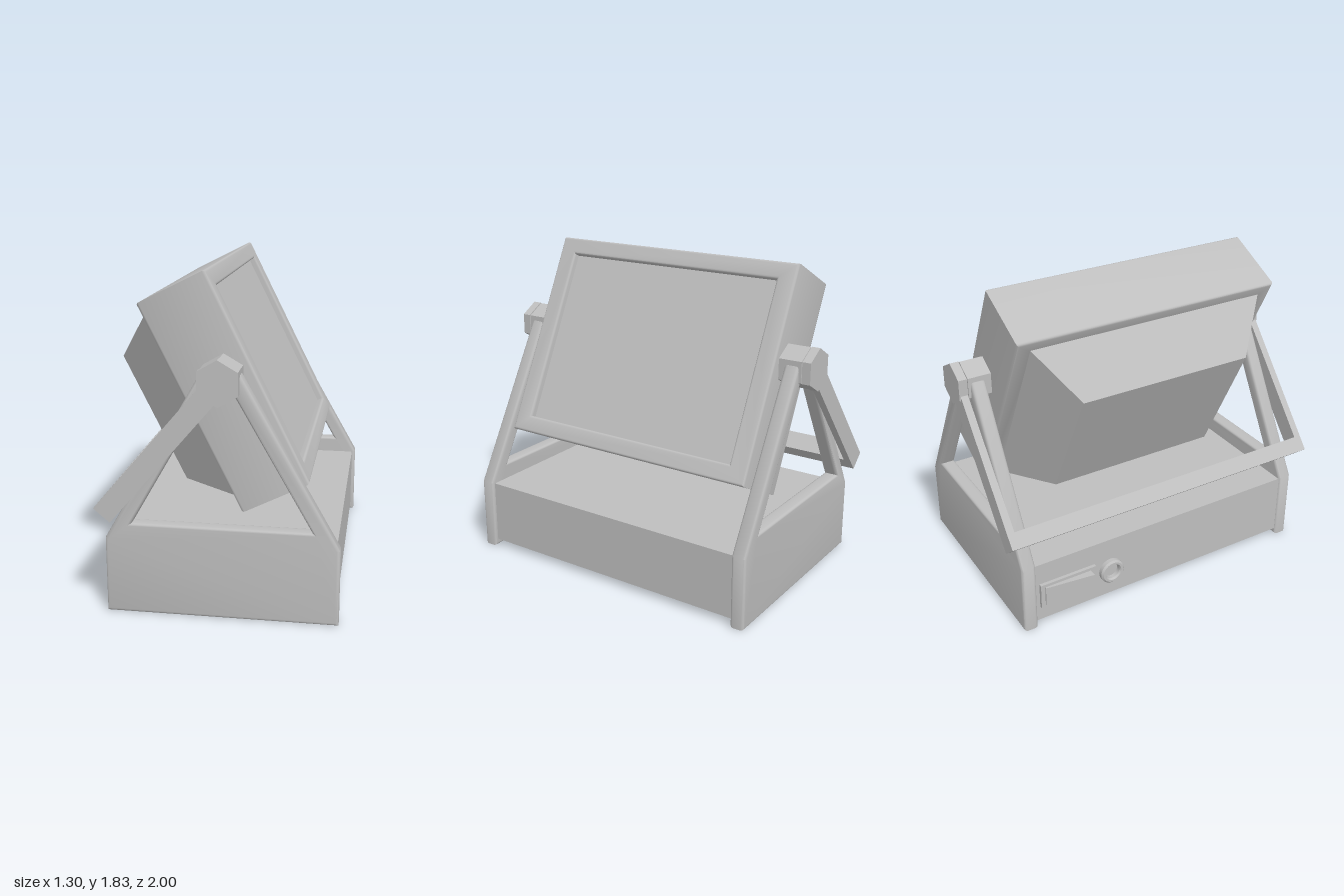
import * as THREE from 'three';
import { toCreasedNormals } from 'three/addons/utils/BufferGeometryUtils.js';

const grey = new THREE.MeshStandardMaterial({ color: 0xbebebe });
grey.name = 'grey';

function add(parent, name, geometry, x = 0, y = 0, z = 0) {
  const mesh = new THREE.Mesh(geometry, grey);
  mesh.name = name;
  mesh.position.set(x, y, z);
  parent.add(mesh);
  return mesh;
}

const toPoints = (list) => list.map(([x, y]) => new THREE.Vector2(x, y));

// Soft-edged plate centred on z = 0, with one hole
function plate(outline, hole, depth, bevel) {
  const shape = new THREE.Shape(toPoints(outline));
  shape.holes.push(new THREE.Path(toPoints(hole)));
  const g = new THREE.ExtrudeGeometry(shape, {
    depth: depth - 2 * bevel, bevelEnabled: true, bevelThickness: bevel,
    bevelSize: bevel, bevelOffset: -bevel, bevelSegments: 3,
  });
  g.translate(0, 0, bevel - depth / 2);
  return toCreasedNormals(g, 0.6);
}

const rect = (w, h) => [[-w, -h], [w, -h], [w, h], [-w, h]];

// Hexagonal prism along z with a corner pointing up
function hex(radius, length) {
  const g = new THREE.CylinderGeometry(radius, radius, length, 6).toNonIndexed();
  g.rotateX(Math.PI / 2);
  g.computeVertexNormals();
  return g;
}

export function createModel() {
  const model = new THREE.Group();
  model.name = 'floodlight';
  const pivot = new THREE.Vector2(0.025, 1.3);

  // Base housing between the side plates
  add(model, 'baseHousing', new THREE.BoxGeometry(1.22, 0.375, 1.72), 0.02, 0.2275, 0);

  // Side plates with triangular legs, and pivot knobs
  const sidePlate = plate(
    [[-0.6, 0], [0.65, 0], [0.65, 0.42], [0.13, 1.33], [-0.08, 1.33], [-0.6, 0.42]],
    [[-0.455, 0.51], [0.505, 0.51], [0.09, 1.235], [-0.04, 1.235]], 0.085, 0.018);
  for (const s of [1, -1]) {
    add(model, 'sidePlate', sidePlate, 0, 0, s * 0.8875);
    add(model, 'pivotBolt', hex(0.118, 0.15), pivot.x, pivot.y, s * 0.87);
    add(model, 'pivotNeck', hex(0.108, 0.03), pivot.x, pivot.y, s * 0.947);
    add(model, 'pivotKnob', hex(0.121, 0.05), pivot.x, pivot.y, s * 0.975);
  }

  // Carrying handle: two flat arms joined by a cross bar, local +x runs away from the pivot
  const handle = new THREE.Group();
  handle.name = 'handle';
  handle.position.set(pivot.x, pivot.y, 0);
  handle.rotation.z = Math.atan2(-0.728, -0.62);
  model.add(handle);
  for (const s of [1, -1]) {
    add(handle, 'handleArm', new THREE.BoxGeometry(0.956, 0.115, 0.042), 0.478, 0, s * 0.972);
  }
  add(handle, 'handleBar', new THREE.BoxGeometry(0.09, 0.115, 1.91), 0.911, 0, 0);

  // Tilted lamp head, local +x is the glass side
  const head = new THREE.Group();
  head.name = 'lampHead';
  head.position.set(0.025, 1.2, 0);
  head.rotation.z = Math.atan2(1, 2);
  model.add(head);
  const shell = plate(rect(0.81, 0.615), rect(0.697, 0.515), 0.4, 0.015);
  shell.rotateY(Math.PI / 2);
  add(head, 'headShell', shell);
  add(head, 'glassPanel', new THREE.BoxGeometry(0.355, 1.08, 1.46), -0.0175, 0, 0);

  // Tapered rear housing
  const rear = new THREE.BoxGeometry(0.285, 1.1, 1.45);
  const p = rear.attributes.position;
  for (let i = 0; i < p.count; i++) {
    if (p.getX(i) < 0) {
      p.setY(i, p.getY(i) * 0.7);
      p.setZ(i, p.getZ(i) * 0.72);
    }
  }
  rear.computeVertexNormals();
  add(head, 'rearHousing', rear, -0.3425, 0, 0);

  // Rocker switch and socket ring on the back of the base
  add(model, 'switchFrame', new THREE.BoxGeometry(0.03, 0.155, 0.35), -0.595, 0.207, -0.65);
  const rocker = new THREE.BoxGeometry(0.07, 0.12, 0.29);
  const r = rocker.attributes.position;
  for (let i = 0; i < r.count; i++) {
    if (r.getX(i) < 0 && r.getZ(i) < 0) r.setX(i, r.getX(i) + 0.035);
  }
  rocker.computeVertexNormals();
  add(model, 'rockerSwitch', rocker, -0.62, 0.207, -0.655);
  const ring = new THREE.LatheGeometry(
    toPoints([[0.045, 0], [0.075, 0], [0.075, 0.035], [0.065, 0.045], [0.052, 0.045], [0.045, 0.035], [0.045, 0]]), 24);
  ring.rotateZ(Math.PI / 2);
  add(model, 'socketRing', toCreasedNormals(ring, 0.5), -0.58, 0.207, -0.37);

  return model;
}
